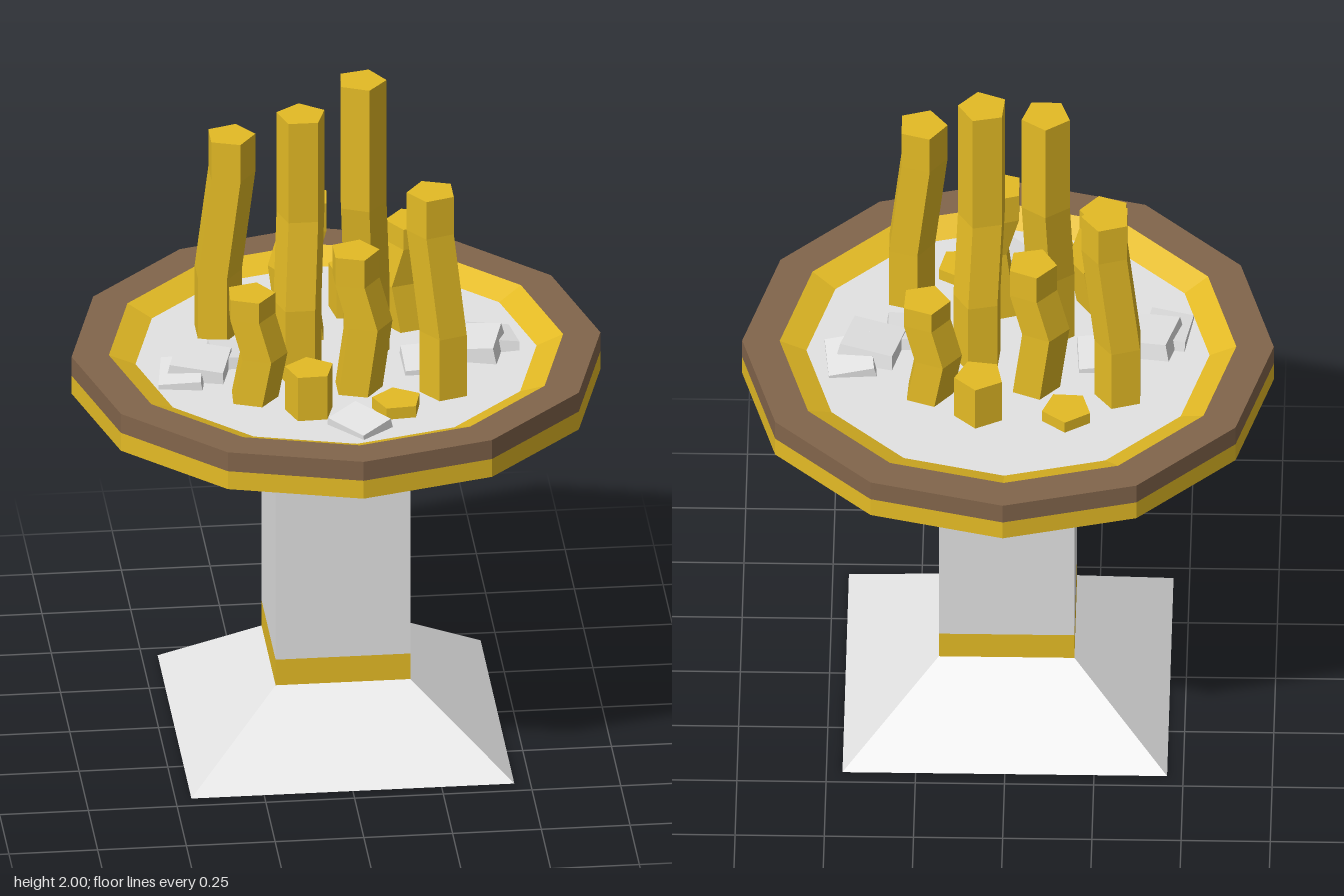
import * as THREE from 'three';

const light = new THREE.MeshStandardMaterial({ name: 'paleStone', color: 0xe3e3e3, side: THREE.DoubleSide });
const gold = new THREE.MeshStandardMaterial({ name: 'gold', color: 0xe4bb25, side: THREE.DoubleSide });
const brown = new THREE.MeshStandardMaterial({ name: 'brown', color: 0x82654b });

const FLOOR = 1.14;

// Faceted mesh: split faces so every normal is flat
function facet(geometry, material, name) {
  const g = geometry.index ? geometry.toNonIndexed() : geometry;
  g.computeVertexNormals();
  const mesh = new THREE.Mesh(g, material);
  mesh.name = name;
  return mesh;
}

// Open four-sided sleeve, given half widths and heights
function sleeve(bottom, top, y0, y1, material, name) {
  const g = new THREE.CylinderGeometry(top * Math.SQRT2, bottom * Math.SQRT2, y1 - y0, 4, 1, true);
  g.rotateY(Math.PI / 4).translate(0, (y0 + y1) / 2, 0);
  return facet(g, material, name);
}

// Twelve-sided ring or disc from a profile
function ring(points, material, name) {
  const profile = points.map(([r, y]) => new THREE.Vector2(r, y));
  return facet(new THREE.LatheGeometry(profile, 12), material, name);
}

// Loft from the square pillar to the twelve-sided tray
function bowlSupport() {
  const at = (angle, r, y) => [Math.sin(angle) * r, y, Math.cos(angle) * r];
  const rim = k => at(k * Math.PI / 6, 0.59, 1.057);
  const corner = q => at((q + 0.5) * Math.PI / 2, 0.19 * Math.SQRT2, 0.845);
  const v = [];
  for (let q = 0; q < 4; q++) {
    v.push(...corner(q - 1), ...corner(q), ...rim(q * 3));
    for (let k = q * 3; k < q * 3 + 3; k++) v.push(...corner(q), ...rim(k + 1), ...rim(k));
  }
  const g = new THREE.BufferGeometry();
  g.setAttribute('position', new THREE.Float32BufferAttribute(v, 3));
  return facet(g, light, 'bowlSupport');
}

// Five-sided column with a bend: dx, dz shift its lower rings
function crystal([x, z, top, turn, dx = 0, dz = 0, low = 0, high = 0, foot = 1]) {
  const g = new THREE.CylinderGeometry(0.071, 0.071, 3, 5, 3);
  g.rotateY(Math.PI / 2 - THREE.MathUtils.degToRad(turn));
  const h = top - FLOOR;
  const heights = [FLOOR - 0.01, low || FLOOR + h / 3, high || FLOOR + h * 2 / 3, top];
  const shift = [foot, 1, 0, 0];
  const p = g.attributes.position;
  for (let i = 0; i < p.count; i++) {
    const row = Math.round(p.getY(i) + 1.5);
    p.setXYZ(i, p.getX(i) + x + dx * shift[row], heights[row], p.getZ(i) + z + dz * shift[row]);
  }
  return facet(g, gold, 'crystal');
}

// Flat stone, narrower towards the top
function stone([x, y, z, w, h, d, rx, ry, rz]) {
  const g = new THREE.BoxGeometry(w, h, d);
  const p = g.attributes.position;
  for (let i = 0; i < p.count; i++) {
    if (p.getY(i) > 0) p.setXYZ(i, p.getX(i) * 0.92, p.getY(i), p.getZ(i) * 0.92);
  }
  const mesh = facet(g, light, 'stone');
  mesh.position.set(x, y, z);
  mesh.rotation.set(rx, ry, rz);
  return mesh;
}

// x, z, top height, turn in degrees, bend x, bend z, bend heights, foot share
const CRYSTALS = [
  [-0.17, -0.293, 1.175, -87],
  [0.075, -0.28, 1.275, -82],
  [-0.28, -0.173, 1.757, 0, -0.037, -0.012, 1.33, 1.64],
  [-0.07, -0.143, 1.567, -30, -0.035, -0.01, 1.35, 1.48, 0.2],
  [0.228, -0.182, 1.463, -33, -0.032, -0.01, 1.28, 1.4, 0.2],
  [0.07, 0.01, 2, 77, 0.012, -0.035, 1.36, 1.62],
  [-0.105, 0.067, 1.93, -90, -0.012, 0.035, 1.36, 1.62],
  [-0.267, 0.237, 1.463, 3, 0.033, 0.012, 1.28, 1.4, 0.2],
  [0.03, 0.208, 1.567, 0, 0.035, 0.012, 1.35, 1.48, 0.2],
  [0.245, 0.24, 1.757, 180, 0.035, 0.015, 1.33, 1.64],
  [-0.11, 0.347, 1.275, -92],
  [0.135, 0.362, 1.175, -95],
];

// x, y, z, width, height, depth, then tilt x, turn y, tilt z
const ROCKS = [
  [0.38, 1.16, 0.01, 0.165, 0.05, 0.16, 0.06, -0.26, 0.1],
  [0.44, 1.142, -0.045, 0.14, 0.05, 0.16, -0.12, 0.1, -0.15],
  [0.26, 1.14, 0.08, 0.17, 0.05, 0.15, 0.1, 0, 0.06],
  [-0.39, 1.16, 0.058, 0.165, 0.05, 0.16, 0.06, -0.26, -0.08],
  [-0.445, 1.142, 0.1, 0.13, 0.05, 0.16, 0.1, -0.15, 0.12],
  [-0.275, 1.14, -0.015, 0.165, 0.05, 0.15, -0.08, 0.06, -0.08],
  [0.02, 1.14, 0.452, 0.12, 0.05, 0.15, 0.08, 0.7, 0.08],
];

export function createModel() {
  const model = new THREE.Group();
  model.name = 'crystalPedestal';

  // Hollow foot and pillar
  model.add(
    sleeve(0.455, 0.19, 0, 0.21, light, 'foot'),
    sleeve(0.19, 0.19, 0.21, 0.29, gold, 'pillarBand'),
    sleeve(0.19, 0.19, 0.29, 0.845, light, 'pillar'),
    bowlSupport(),
  );

  // Tray
  model.add(
    ring([[0.59, 1.057], [0.745, 1.057]], light, 'trayUnderside'),
    ring([[0.745, 1.057], [0.745, 1.113]], gold, 'trayBand'),
    ring([[0.745, 1.113], [0.745, 1.172], [0.64, 1.172]], brown, 'trayRim'),
    ring([[0.64, 1.172], [0.565, FLOOR]], gold, 'trayBevel'),
    ring([[0.565, FLOOR], [0, FLOOR]], light, 'trayFloor'),
  );

  // Crystal cluster
  const cluster = new THREE.Group();
  cluster.name = 'crystalCluster';
  for (const c of CRYSTALS) cluster.add(crystal(c));
  model.add(cluster);

  // Flat stones lying on the tray
  const stones = new THREE.Group();
  stones.name = 'stones';
  for (const r of ROCKS) stones.add(stone(r));
  model.add(stones);

  return model;
}
